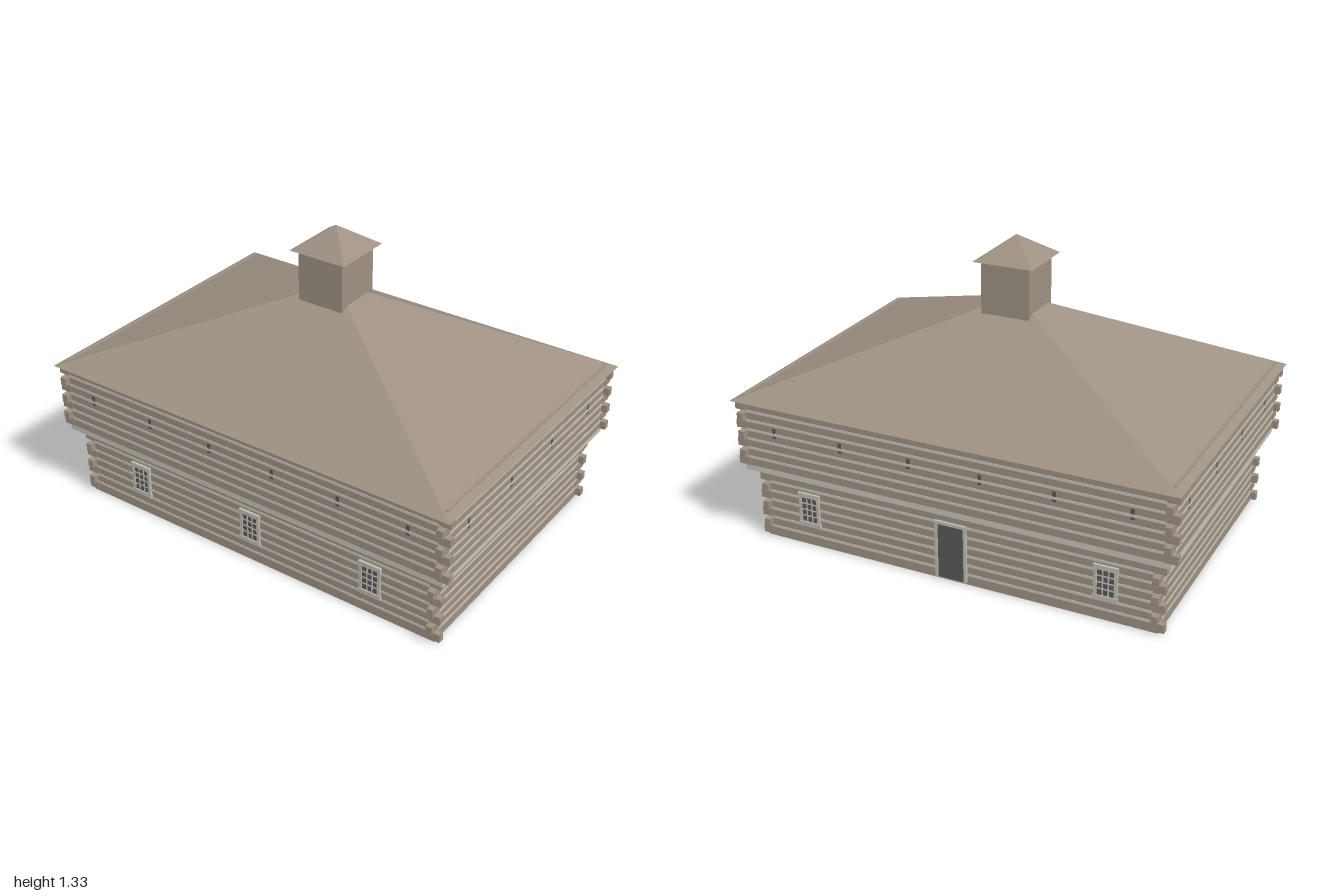
import * as THREE from 'three';

const mat = (name, color) => {
  const m = new THREE.MeshStandardMaterial({ color });
  m.name = name;
  return m;
};

export function createModel() {
  const timber = mat('weathered timber', 0x9e9183);
  const chinking = mat('pale chinking', 0xc6c3b8);
  const trim = mat('pale trim', 0xbebbb0);
  const dark = mat('dark openings', 0x585957);

  const model = new THREE.Group();
  model.name = 'blockhouse';

  const add = (parent, name, geo, material, x = 0, y = 0, z = 0) => {
    const mesh = new THREE.Mesh(geo, material);
    mesh.name = name;
    mesh.position.set(x, y, z);
    parent.add(mesh);
    return mesh;
  };
  const box = (parent, name, material, w, h, d, x, y, z) =>
    add(parent, name, new THREE.BoxGeometry(w, h, d), material, x, y, z);
  const group = (name, parent = model) => {
    const g = new THREE.Group();
    g.name = name;
    parent.add(g);
    return g;
  };

  // Four thin bands around a rectangle, with outer faces at hx and hz
  const ring = (parent, name, material, hx, hz, y, height, thick) => {
    for (const s of [-1, 1]) {
      box(parent, name, material, thick, height, 2 * hz, s * (hx - thick / 2), y, 0);
      box(parent, name, material, 2 * (hx - thick), height, thick, 0, y, s * (hz - thick / 2));
    }
  };

  // Seven log courses, alternately overhanging the long and short walls,
  // with a pale chinking line flush over each joint
  const courses = (parent, hx, hz, y0, pitch) => {
    for (let i = 0; i < 7; i++) {
      const y = y0 + i * pitch + 0.018;
      ring(parent, 'logCourse', timber, hx, hz, y, 0.036, 0.01);
      ring(parent, 'chinkingLine', chinking, hx + 0.002, hz + 0.002, y + pitch / 2, 0.0115, 0.012);
      for (const sx of [-1, 1]) {
        for (const sz of [-1, 1]) {
          if (i % 2 === 0) box(parent, 'logEnd', timber, 0.053, 0.037, 0.028, sx * (hx - 0.0015), y, sz * (hz - 0.011));
          else box(parent, 'logEnd', timber, 0.028, 0.037, 0.054, sx * (hx - 0.011), y, sz * (hz - 0.001));
        }
      }
    }
  };

  // Lower storey: hollow, open underneath
  const lower = group('lowerStorey');
  courses(lower, 0.908, 0.618, 0.008, 0.0433);
  ring(lower, 'sill', timber, 0.908, 0.618, 0.0045, 0.009, 0.01);
  ring(lower, 'topLog', timber, 0.908, 0.618, 0.321, 0.02, 0.01);
  ring(lower, 'lining', timber, 0.898, 0.608, 0.165, 0.33, 0.004);

  // Upper storey: overhanging pale core that shows as a fascia and soffit
  const upper = group('upperStorey');
  box(upper, 'upperCore', chinking, 1.93, 0.335, 1.34, 0, 0.4975, 0);
  box(upper, 'wallPlate', timber, 1.93, 0.02, 1.32, 0, 0.667, 0);
  courses(upper, 0.968, 0.673, 0.358, 0.0427);

  // Loopholes, crossed by the chinking line
  for (const s of [-1, 1]) {
    for (let i = 0; i < 6; i++)
      box(upper, 'loophole', dark, 0.016, 0.046, 0.006, -0.805 + i * 0.322, 0.531, s * 0.671);
    for (const z of [-0.5, -0.168, 0.168, 0.5])
      box(upper, 'loophole', dark, 0.006, 0.046, 0.015, s * 0.966, 0.531, z);
  }

  // Windows with a three by four grid of panes
  const addWindow = (x, side) => {
    const w = group('window');
    box(w, 'glass', dark, 0.08, 0.13, 0.006, 0, 0.172, 0.001);
    for (const s of [-1, 1]) {
      box(w, 'jamb', trim, 0.014, 0.155, 0.012, s * 0.0435, 0.172, 0.002);
      box(w, 'crossPiece', trim, 0.106, 0.02, 0.014, 0, 0.172 + s * 0.068, 0.003);
      box(w, 'bar', trim, 0.006, 0.13, 0.006, s * 0.0125, 0.172, 0.003);
    }
    for (const i of [-1, 0, 1])
      box(w, 'bar', trim, 0.075, 0.006, 0.006, 0, 0.172 + i * 0.029, 0.003);
    w.position.set(x, 0, side * 0.62);
    if (side < 0) w.rotation.y = Math.PI;
  };
  [-0.605, 0, 0.605].forEach((x) => addWindow(x, 1));
  [-0.685, 0.685].forEach((x) => addWindow(x, -1));

  // Back door
  const door = group('door');
  box(door, 'doorPanel', dark, 0.125, 0.25, 0.008, 0, 0.135, -0.62);
  for (const s of [-1, 1])
    box(door, 'doorJamb', trim, 0.013, 0.26, 0.014, s * 0.066, 0.14, -0.622);
  box(door, 'doorLintel', trim, 0.145, 0.014, 0.014, 0, 0.266, -0.622);

  // Four-sided pyramid standing on y0
  const pyramid = (parent, name, hx, hz, y0, y1) => {
    const g = new THREE.ConeGeometry(Math.SQRT2, y1 - y0, 4, 1).toNonIndexed();
    g.rotateY(Math.PI / 4).scale(hx, 1, hz);
    g.computeVertexNormals();
    return add(parent, name, g, timber, 0, (y0 + y1) / 2, 0);
  };
  pyramid(model, 'mainRoof', 1, 0.703, 0.657, 1.06);

  // Lookout turret
  const turret = group('turret');
  box(turret, 'turretWalls', timber, 0.22, 0.28, 0.224, 0, 1.09, 0);
  pyramid(turret, 'turretRoof', 0.137, 0.138, 1.225, 1.325);

  return model;
}
